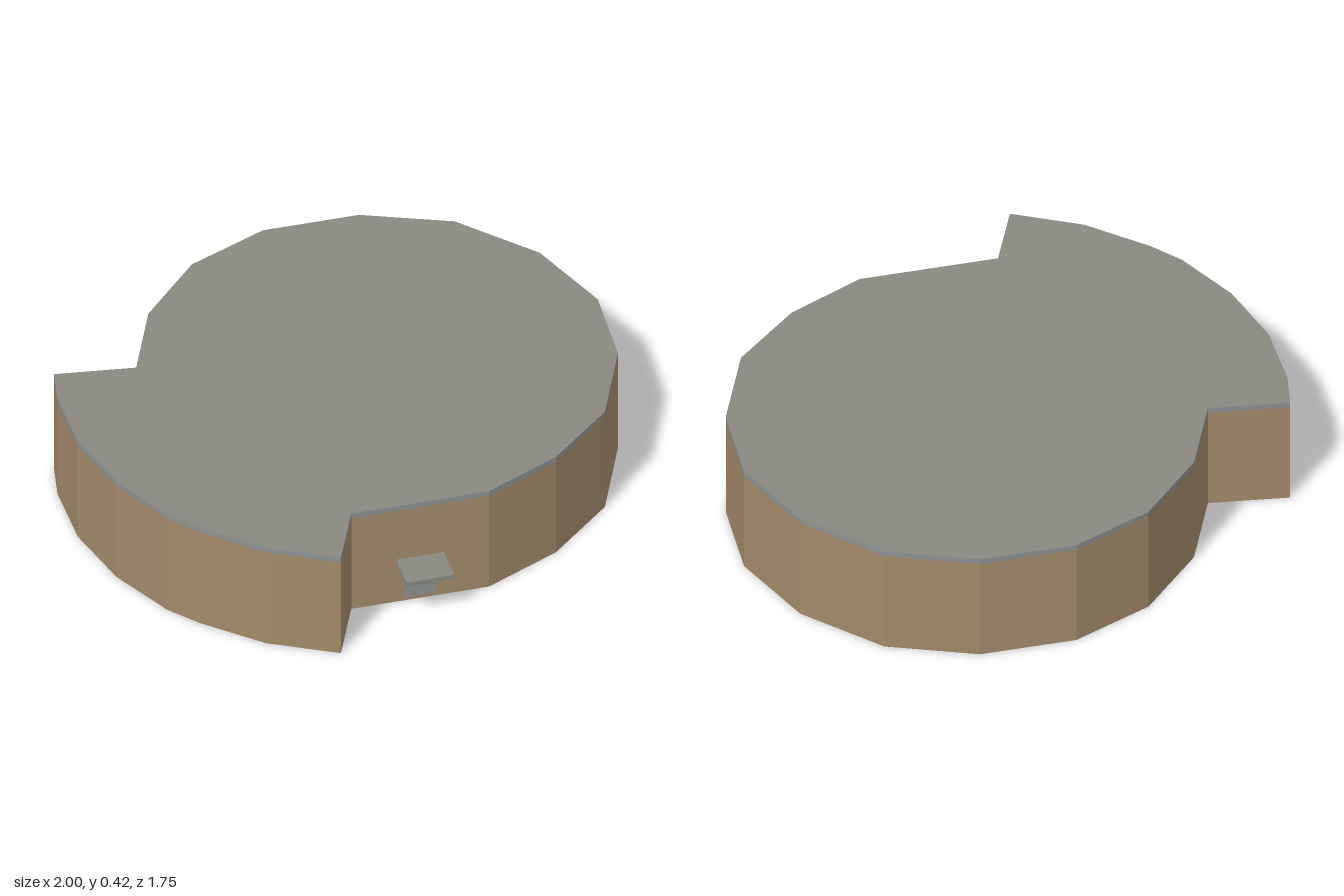
import * as THREE from 'three';

const WALL_TOP = 0.4, ROOF_TOP = 0.42;

// Floor plan as [x, z], running from the back towards +x
const PLAN = [
  [0, -0.88], [0.32, -0.88], [0.64, -0.74], [0.88, -0.5], [1, -0.17], [0.99, 0.17],
  [0.85, 0.46], [0.6, 0.7], [0.3, 0.8], [-0.01, 0.81], [-0.47, 0.61],
  [-0.66, 0.79], [-0.83, 0.58], [-0.94, 0.34], [-0.98, 0.21], [-1, -0.05],
  [-0.96, -0.32], [-0.86, -0.56], [-0.78, -0.68], [-0.53, -0.53], [-0.3, -0.75],
];

function material(name, color, side = THREE.FrontSide) {
  const m = new THREE.MeshStandardMaterial({ color, side });
  m.name = name;
  return m;
}

// Open ring of flat wall panels
function wallGeometry() {
  const pos = [];
  PLAN.forEach(([ax, az], i) => {
    const [bx, bz] = PLAN[(i + 1) % PLAN.length];
    pos.push(ax, 0, az, ax, WALL_TOP, az, bx, WALL_TOP, bz);
    pos.push(ax, 0, az, bx, WALL_TOP, bz, bx, 0, bz);
  });
  const g = new THREE.BufferGeometry();
  g.setAttribute('position', new THREE.Float32BufferAttribute(pos, 3));
  g.computeVertexNormals();
  return g;
}

export function createModel() {
  const model = new THREE.Group();
  model.name = 'building';
  const wall = material('tan wall', 0xa38a69, THREE.DoubleSide);
  const roof = material('grey roof', 0x8a8981);
  const trim = material('pale grey trim', 0x8c9192);

  function add(parent, name, geometry, mat, x = 0, y = 0, z = 0) {
    const mesh = new THREE.Mesh(geometry, mat);
    mesh.name = name;
    mesh.position.set(x, y, z);
    parent.add(mesh);
  }

  add(model, 'walls', wallGeometry(), wall);

  // Flat roof slab, with a trim-coloured edge
  const shape = new THREE.Shape(PLAN.map(([x, z]) => new THREE.Vector2(x, -z)));
  const slab = new THREE.ExtrudeGeometry(shape, { depth: ROOF_TOP - WALL_TOP, bevelEnabled: false });
  slab.rotateX(-Math.PI / 2);
  add(model, 'roof', slab, [roof, trim], 0, WALL_TOP, 0);

  // Entrance set on the slanted front wall: door under a small canopy
  const entrance = new THREE.Group();
  entrance.name = 'entrance';
  entrance.position.set(-0.24, 0, 0.71);
  entrance.rotation.y = -Math.atan2(0.2, 0.46);
  add(entrance, 'canopy', new THREE.BoxGeometry(0.175, 0.02, 0.14), roof, 0, 0.175, 0.07);
  add(entrance, 'door', new THREE.BoxGeometry(0.11, 0.145, 0.008), trim, 0, 0.0925, 0.004);
  model.add(entrance);

  return model;
}
